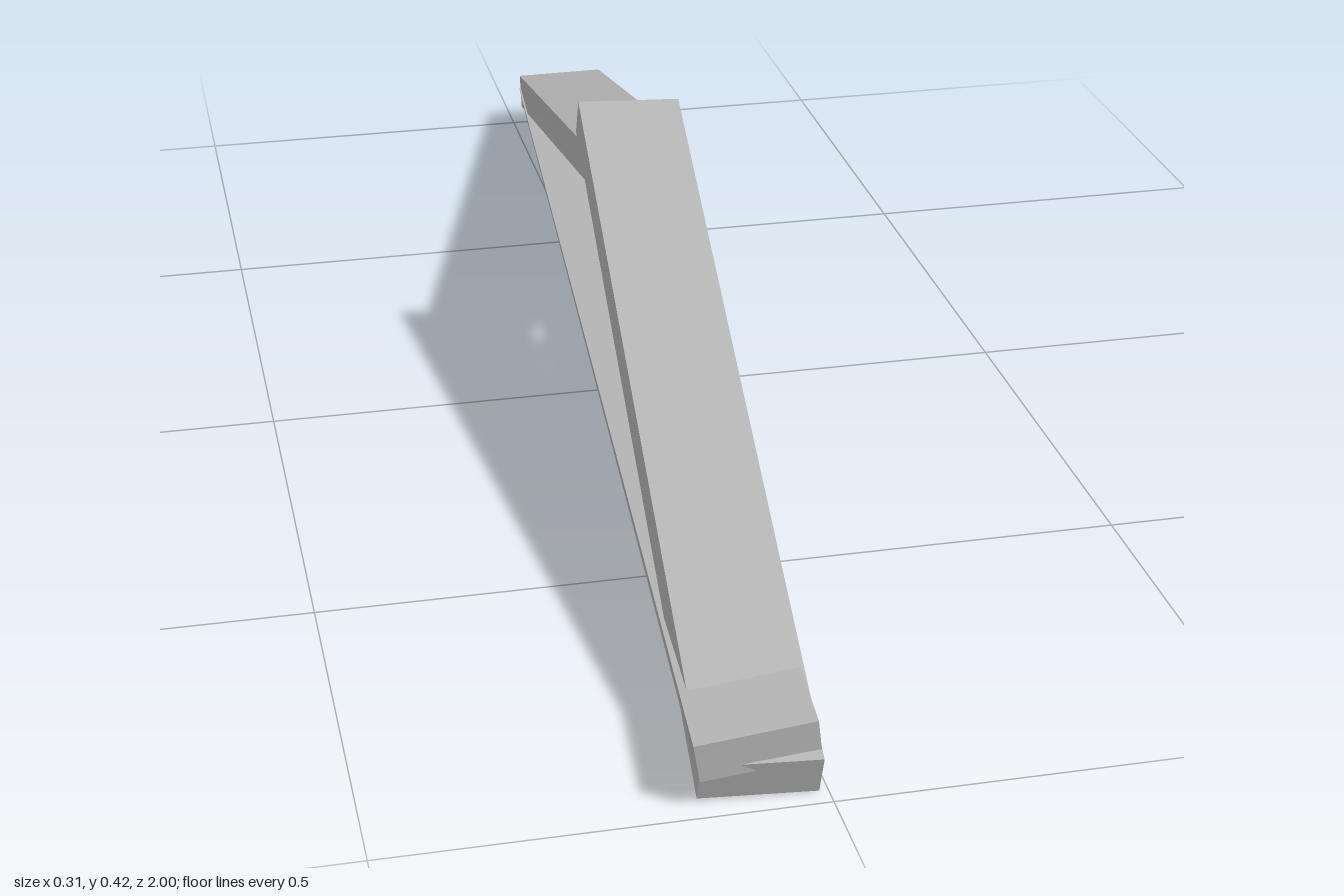
import * as THREE from 'three';

// Box whose front and back ends are moved to given corners.
// Each end lists its corners as top left, top right, bottom right, bottom left.
function beam(name, front, back, material) {
  const geometry = new THREE.BoxGeometry(1, 1, 1);
  const p = geometry.attributes.position;
  for (let i = 0; i < p.count; i++) {
    const end = p.getZ(i) > 0 ? front : back;
    const right = p.getX(i) > 0;
    const corner = p.getY(i) > 0 ? (right ? 1 : 0) : (right ? 2 : 3);
    p.setXYZ(i, ...end[corner]);
  }
  geometry.computeVertexNormals();
  const mesh = new THREE.Mesh(geometry, material);
  mesh.name = name;
  return mesh;
}

export function createModel() {
  const group = new THREE.Group();
  group.name = 'roofTruss';
  const grey = new THREE.MeshStandardMaterial({ color: 0xb4b4b4 });
  grey.name = 'grey';

  // Long bottom tie, slightly rolled
  group.add(beam('tieBeam',
    [[-0.154, 0.09, 0.997], [-0.015, 0.095, 0.985], [-0.008, 0.045, 0.98], [-0.145, 0.04, 0.99]],
    [[0.007, 0.07, -0.98], [0.145, 0.076, -0.99], [0.153, 0.025, -1.0], [0.018, 0.02, -0.988]], grey));

  // Front rafter, running past the ridge
  group.add(beam('frontRafter',
    [[-0.143, 0.055, 0.985], [-0.01, 0.052, 0.994], [-0.01, 0.001, 0.977], [-0.143, 0.004, 0.968]],
    [[-0.076, 0.418, -0.021], [0.057, 0.415, -0.012], [0.057, 0.366, -0.03], [-0.076, 0.369, -0.039]], grey));

  // Back rafter, butting into the front one
  group.add(beam('backRafter',
    [[-0.08, 0.384, 0.052], [0.053, 0.386, 0.06], [0.053, 0.335, 0.058], [-0.08, 0.334, 0.05]],
    [[0.01, 0.088, -0.99], [0.143, 0.09, -0.987], [0.143, 0.04, -0.973], [0.01, 0.038, -0.976]], grey));

  // Slim post between tie and ridge
  const post = new THREE.Mesh(new THREE.BoxGeometry(0.028, 0.28, 0.05), grey);
  post.name = 'kingPost';
  post.position.set(0.019, 0.215, 0.035);
  group.add(post);

  return group;
}
